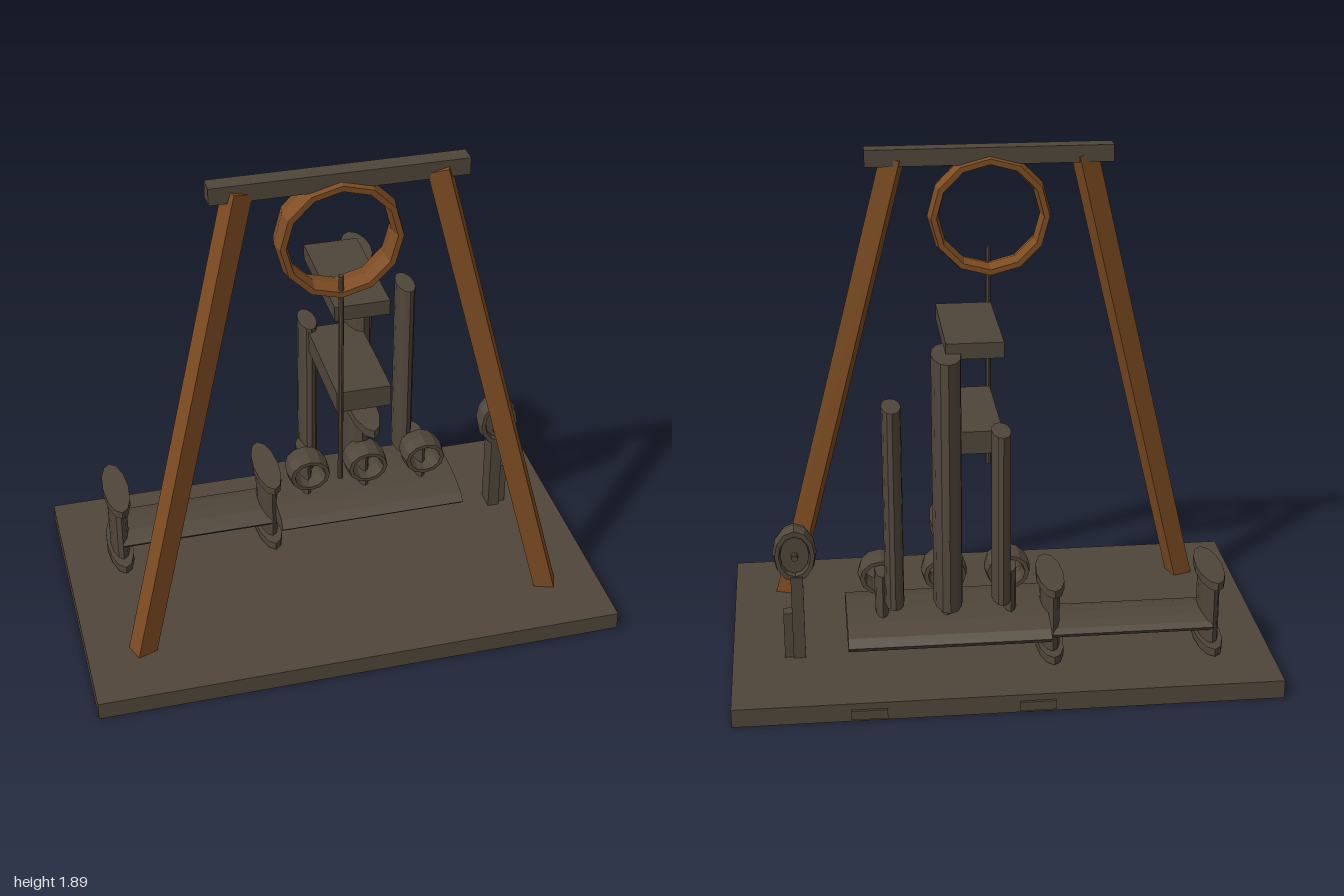
import * as THREE from 'three';

const iron = new THREE.MeshStandardMaterial({ color: 0x50463a, flatShading: true });
iron.name = 'darkIron';
const wood = new THREE.MeshStandardMaterial({ color: 0x7d4c22, flatShading: true });
wood.name = 'brownWood';

export function createModel() {
  const model = new THREE.Group();
  model.name = 'steamApparatus';

  const add = (name, geometry, material, x = 0, y = 0, z = 0) => {
    const mesh = new THREE.Mesh(geometry, material);
    mesh.name = name;
    mesh.position.set(x, y, z);
    model.add(mesh);
    return mesh;
  };
  // Box given by its limits on each axis
  const box = (name, x0, x1, y0, y1, z0, z1, material = iron) =>
    add(name, new THREE.BoxGeometry(x1 - x0, y1 - y0, z1 - z0), material,
      (x0 + x1) / 2, (y0 + y1) / 2, (z0 + z1) / 2);
  // Upright oval pipe
  const upright = (name, x, z, rx, rz, y0, y1, sides = 12) =>
    add(name, new THREE.CylinderGeometry(1, 1, y1 - y0, sides).scale(rx, 1, rz), iron,
      x, (y0 + y1) / 2, z);
  // Oval pipe lying along x
  const lying = (name, x0, x1, y, z, ry, rz) =>
    add(name, new THREE.CylinderGeometry(1, 1, x1 - x0, 12).rotateZ(Math.PI / 2).scale(1, ry, rz), iron,
      (x0 + x1) / 2, y, z);

  // Base with two plates on its back edge
  box('base', -1, 1, 0, 0.07, -0.6, 0.6);
  box('backPlate', -0.16, -0.03, 0.01, 0.045, -0.61, -0.6);
  box('backPlate', 0.445, 0.575, 0.01, 0.045, -0.61, -0.6);

  // Leaning frame
  box('topBeam', -0.455, 0.455, 1.83, 1.893, 0.147, 0.213);
  for (const side of [-1, 1]) {
    const foot = new THREE.Vector3(side * 0.795, 0.05, 0.347);
    const head = new THREE.Vector3(side * 0.35, 1.86, 0.187);
    const up = head.clone().sub(foot);
    const length = up.length();
    up.normalize();
    const across = new THREE.Vector3(up.z, 0, -up.x).normalize();
    const out = new THREE.Vector3().crossVectors(across, up);
    const leg = add('frameLeg', new THREE.BoxGeometry(0.075, length, 0.075), wood);
    leg.quaternion.setFromRotationMatrix(new THREE.Matrix4().makeBasis(across, up, out));
    leg.position.copy(foot).lerp(head, 0.5);
  }

  // Hanging ring and rod
  add('hangingRing', new THREE.TorusGeometry(0.208, 0.021, 6, 12).scale(1, 1, 3), wood, 0, 1.637, 0.18);
  upright('rod', 0, 0.22, 0.01, 0.01, 0.63, 1.5, 8);

  // Lying pipes with flanged end columns
  lying('supplyPipe', -0.78, -0.18, 0.178, -0.25, 0.036, 0.115);
  lying('headerPipe', -0.163, 0.575, 0.217, -0.25, 0.053, 0.218);
  for (const x of [-0.78, -0.18]) {
    upright('flangeColumn', x, -0.25, 0.036, 0.11, 0.1, 0.36);
    upright('lowerFlange', x, -0.25, 0.05, 0.162, 0.08, 0.11);
    upright('upperFlange', x, -0.25, 0.05, 0.162, 0.35, 0.38);
  }

  // Standing pipes
  upright('leftPipe', 0.01, -0.33, 0.035, 0.077, 0.33, 0.985);
  upright('tallPipe', 0.205, -0.33, 0.053, 0.118, 0.33, 1.278);
  upright('rightPipe', 0.4, -0.33, 0.035, 0.077, 0.33, 1.092);
  upright('pipeCollar', 0.207, -0.25, 0.056, 0.2, 0.58, 0.615);

  // Valves with handwheels
  for (const x of [-0.027, 0.208, 0.443]) {
    upright('valveBody', x, -0.25, 0.026, 0.08, 0.2, 0.43);
    add('valveWheel', new THREE.TorusGeometry(0.07, 0.016, 6, 12).scale(1, 0.86, 4), iron, x, 0.383, -0.185);
  }

  // Arms reaching forward
  box('upperArm', 0, 0.205, 1.257, 1.315, -0.33, 0.13);
  box('lowerArm', 0, 0.205, 0.885, 0.97, -0.295, 0.165);

  // Dial on its posts
  box('dialPost', 0.73, 0.775, 0.07, 0.4, -0.24, -0.16);
  box('shortPost', 0.768, 0.807, 0.07, 0.25, -0.23, -0.18);
  add('dialRim', new THREE.TorusGeometry(0.066, 0.015, 6, 12).scale(1, 1.37, 3), iron, 0.757, 0.482, -0.195);
  add('dialFace', new THREE.CylinderGeometry(0.053, 0.053, 0.05, 12).rotateX(Math.PI / 2).scale(1, 1.37, 1),
    iron, 0.757, 0.482, -0.195);
  const needle = add('dialNeedle', new THREE.BoxGeometry(0.012, 0.09, 0.03), iron, 0.757, 0.485, -0.157);
  needle.rotation.z = -0.4;
  add('dialHub', new THREE.CylinderGeometry(0.012, 0.012, 0.11, 8).rotateX(Math.PI / 2), iron, 0.757, 0.482, -0.195);

  return model;
}
